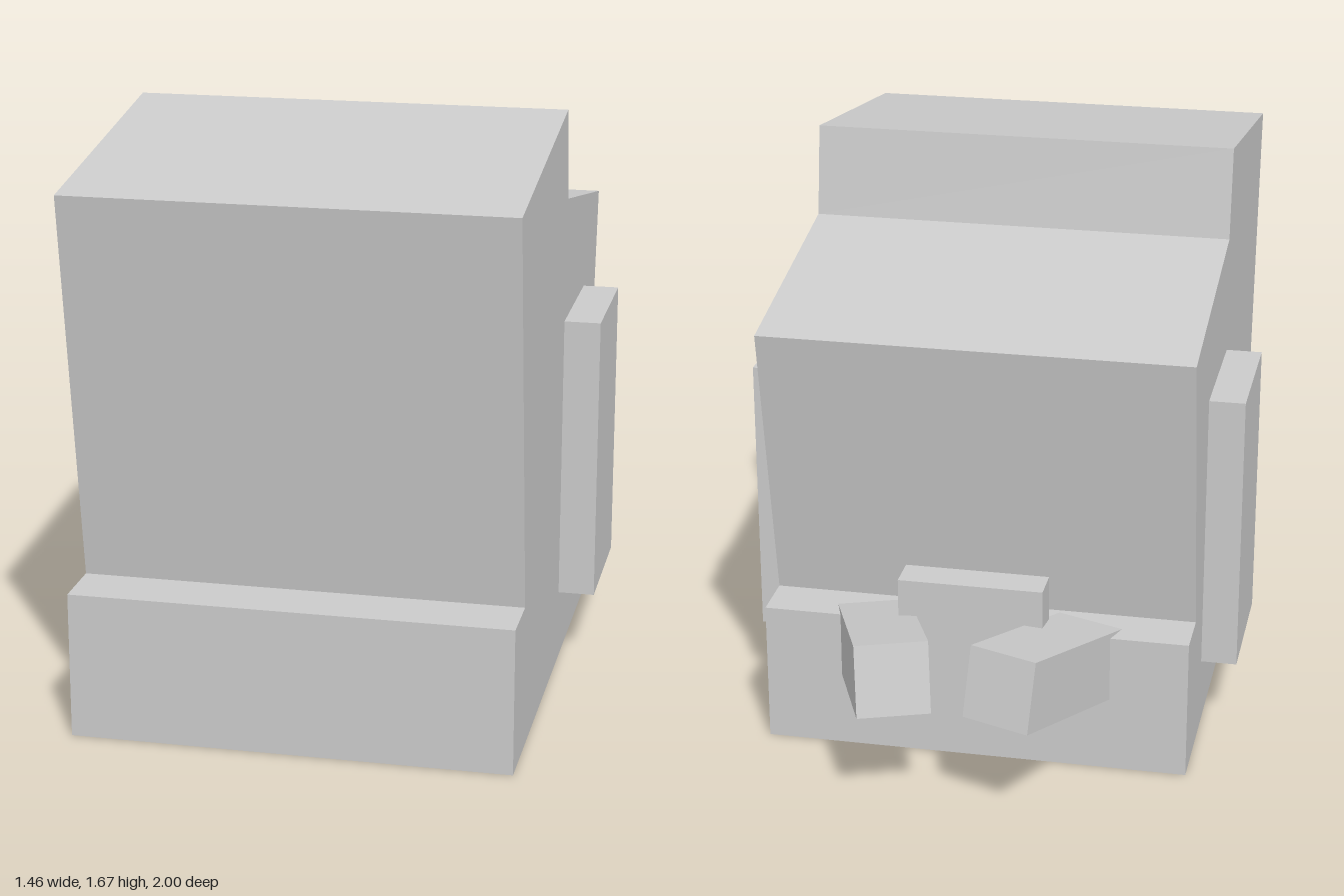
import * as THREE from 'three';

const material = new THREE.MeshStandardMaterial({ color: 0xcccccc, flatShading: true });

function addPart(parent, name, geometry, x = 0, y = 0, z = 0) {
  const mesh = new THREE.Mesh(geometry, material);
  mesh.name = name;
  mesh.position.set(x, y, z);
  parent.add(mesh);
  return mesh;
}

export function createModel() {
  const group = new THREE.Group();
  const halfWidth = 0.623;

  // Plinth and stepped body share one side profile, given as (z, y)
  const profile = [
    [1, 0], [1, 0.42], [0.833, 0.42], [1, 1.543], [0.178, 1.667], [0.138, 1.402],
    [-0.568, 1.27], [-0.413, 0.42], [-0.563, 0.42], [-0.563, 0],
  ].map(([z, y]) => new THREE.Vector2(z, y));
  const body = new THREE.ExtrudeGeometry(new THREE.Shape(profile), { depth: halfWidth * 2, bevelEnabled: false });
  body.translate(0, 0, -halfWidth).rotateY(-Math.PI / 2);
  addPart(group, 'body', body);

  // Small block at the rear, straddling the plinth edge
  addPart(group, 'rearBlock', new THREE.BoxGeometry(0.42, 0.27, 0.103), 0, 0.44, -0.567);

  for (const side of [-1, 1]) {
    const label = side > 0 ? 'left' : 'right';

    // Upright panel on the flank
    addPart(group, label + 'SidePanel', new THREE.BoxGeometry(0.14, 0.835, 0.416), side * 0.658, 0.628, -0.044);

    // Rear arm, placed by its tip, raised and turned inwards
    const armGeometry = new THREE.BoxGeometry(0.207, 0.207, 0.6).translate(0, 0, 0.3);
    const arm = addPart(group, label + 'RearArm', armGeometry, side * 0.15, 0.43, -0.944);
    arm.rotation.set(0.223, side * 0.345, 0, 'YXZ');
  }

  return group;
}
